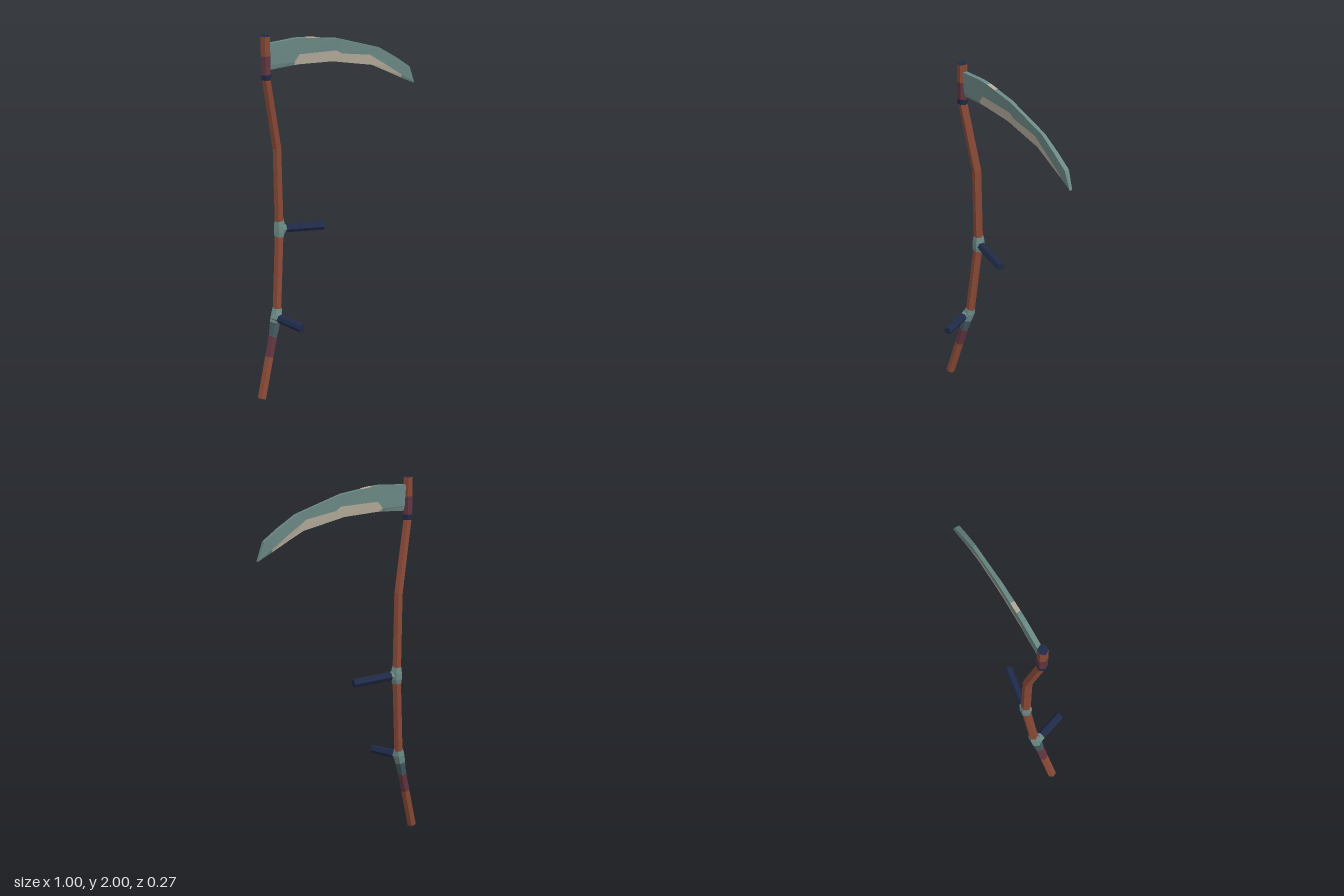
import * as THREE from 'three';

const mat = (name, color) => {
  const m = new THREE.MeshStandardMaterial({ color, flatShading: true });
  m.name = name;
  return m;
};

function geometryFrom(tris) {
  const g = new THREE.BufferGeometry().setFromPoints(tris);
  g.computeVertexNormals();
  return g;
}

// Six-sided bar through [x, y, z, radius] stations; mats has one material, or one per segment
function hexBar(name, stations, mats, capStart, capEnd) {
  const P = stations.map(s => new THREE.Vector3(s[0], s[1], s[2]));
  const n = P.length;
  const rings = P.map((p, i) => {
    const w = new THREE.Vector3();
    if (i > 0) w.add(p.clone().sub(P[i - 1]).normalize());
    if (i < n - 1) w.add(P[i + 1].clone().sub(p).normalize());
    w.normalize();
    const ref = Math.abs(w.x) > 0.7 ? new THREE.Vector3(0, 0, 1) : new THREE.Vector3(1, 0, 0);
    const u = ref.addScaledVector(w, -ref.dot(w)).normalize();
    const v = w.clone().cross(u);
    return Array.from({ length: 6 }, (_, k) => p.clone()
      .addScaledVector(u, stations[i][3] * Math.cos(k * Math.PI / 3))
      .addScaledVector(v, stations[i][3] * Math.sin(k * Math.PI / 3)));
  });
  const group = new THREE.Group();
  group.name = name;
  const add = (label, tris, m) => {
    const mesh = new THREE.Mesh(geometryFrom(tris), m);
    mesh.name = label;
    group.add(mesh);
  };
  const cap = (c, ring, flip) => ring.flatMap((a, k) => {
    const b = ring[(k + 1) % 6];
    return flip ? [c, b, a] : [c, a, b];
  });
  for (let i = 0; i < n - 1; i++) {
    const tris = [];
    for (let k = 0; k < 6; k++) {
      const j = (k + 1) % 6;
      const [a, b, c, d] = [rings[i][k], rings[i][j], rings[i + 1][k], rings[i + 1][j]];
      tris.push(a, b, d, a, d, c);
    }
    add(name + 'Section' + (i + 1), tris, mats[i % mats.length]);
  }
  add(name + 'StartCap', cap(P[0], rings[0], true), capStart || mats[0]);
  add(name + 'EndCap', cap(P[n - 1], rings[n - 1], false), capEnd || mats[mats.length - 1]);
  return group;
}

export function createModel() {
  const wood = mat('brown wood', 0x884936);
  const darkWood = mat('purple brown wood', 0x613540);
  const steel = mat('grey green steel', 0x6b8985);
  const darkSteel = mat('dark steel', 0x42585f);
  const edge = mat('pale honed edge', 0xb3ab9b);
  const grip = mat('navy grip', 0x202a48);
  const model = new THREE.Group();
  model.name = 'scythe';

  // Bent shaft, darker below the lower collar and at the head
  model.add(hexBar('shaft', [
    [-0.478, 0.007, -0.02, 0.026],
    [-0.415, 0.235, -0.045, 0.026],
    [-0.385, 0.345, -0.057, 0.026],
    [-0.348, 0.485, -0.076, 0.026],
    [-0.309, 0.93, -0.109, 0.026],
    [-0.316, 1.39, -0.106, 0.025],
    [-0.388, 1.78, -0.072, 0.024],
  ], [wood, darkWood, darkSteel, wood, wood, wood]));

  // Head sleeve with a dark band and top
  model.add(hexBar('headSleeve', [
    [-0.388, 1.775, -0.072, 0.027],
    [-0.388, 1.803, -0.072, 0.027],
    [-0.388, 1.9, -0.072, 0.027],
    [-0.388, 2.0, -0.072, 0.027],
  ], [grip, darkWood, wood], grip, grip));

  // Collars around the shaft
  model.add(hexBar('upperCollar', [
    [-0.312, 0.895, -0.106, 0.028],
    [-0.309, 0.92, -0.108, 0.033],
    [-0.308, 0.955, -0.109, 0.033],
    [-0.309, 0.985, -0.109, 0.028],
  ], [steel]));
  model.add(hexBar('lowerCollar', [
    [-0.383, 0.352, -0.058, 0.027],
    [-0.366, 0.42, -0.066, 0.032],
    [-0.352, 0.468, -0.073, 0.033],
    [-0.347, 0.495, -0.076, 0.028],
  ], [darkSteel, steel, steel]));

  // Two side handles with collar stubs
  model.add(hexBar('upperHandle', [
    [-0.31, 0.939, -0.109, 0.026],
    [-0.275, 0.936, -0.104, 0.024],
    [-0.06, 0.919, -0.074, 0.024],
  ], [steel, grip]));
  model.add(hexBar('lowerHandle', [
    [-0.368, 0.452, -0.065, 0.026],
    [-0.355, 0.451, -0.03, 0.024],
    [-0.302, 0.445, 0.122, 0.024],
  ], [steel, grip]));

  // Blade stations: spine x, y, seam x, y, edge x, y, half thickness
  const stations = [
    [-0.38, 1.96, -0.38, 1.85, -0.38, 1.822, 0.012],
    [-0.22, 1.97, -0.23, 1.848, -0.225, 1.83, 0.012],
    [-0.18, 1.968, -0.2, 1.884, -0.19, 1.83, 0.012],
    [0.02, 1.94, 0.02, 1.877, 0.0, 1.82, 0.011],
    [0.06, 1.928, 0.05, 1.856, 0.04, 1.811, 0.01],
    [0.28, 1.858, 0.22, 1.828, 0.235, 1.77, 0.01],
    [0.38, 1.795, 0.33, 1.755, 0.32, 1.727, 0.012],
    [0.463, 1.735, 0.42, 1.692, 0.415, 1.677, 0.013],
    [0.498, 1.64, 0.497, 1.638, 0.496, 1.636, 0.008],
  ];
  const z0 = -0.072;
  const rows = stations.map(s => [1, 0.6, 0.1].map((f, r) =>
    [1, -1].map(side => new THREE.Vector3(s[2 * r], s[2 * r + 1], z0 + side * f * s[6]))));
  const body = [], honed = [];
  const quad = (list, a, b, c, d) => list.push(a, b, c, a, c, d);
  for (let i = 0; i < rows.length - 1; i++) {
    const [A, B] = [rows[i], rows[i + 1]];
    const low = i >= 1 && i <= 6 ? honed : body;
    [body, low].forEach((list, r) => {
      quad(list, A[r + 1][0], B[r + 1][0], B[r][0], A[r][0]);
      quad(list, B[r + 1][1], A[r + 1][1], A[r][1], B[r][1]);
    });
    quad(body, A[0][0], B[0][0], B[0][1], A[0][1]);
    quad(low, A[2][1], B[2][1], B[2][0], A[2][0]);
  }
  // Close the tip
  const T = rows[rows.length - 1];
  quad(body, T[2][0], T[2][1], T[0][1], T[0][0]);
  const blade = new THREE.Mesh(geometryFrom(body), steel);
  blade.name = 'blade';
  const bladeEdge = new THREE.Mesh(geometryFrom(honed), edge);
  bladeEdge.name = 'bladeEdge';

  // Pale worn spot on the spine
  const spot = new THREE.Mesh(new THREE.BoxGeometry(0.06, 0.004, 0.023), edge);
  spot.name = 'spineWear';
  spot.position.set(-0.13, 1.961, z0);
  spot.rotation.z = -0.139;
  model.add(blade, bladeEdge, spot);
  return model;
}
